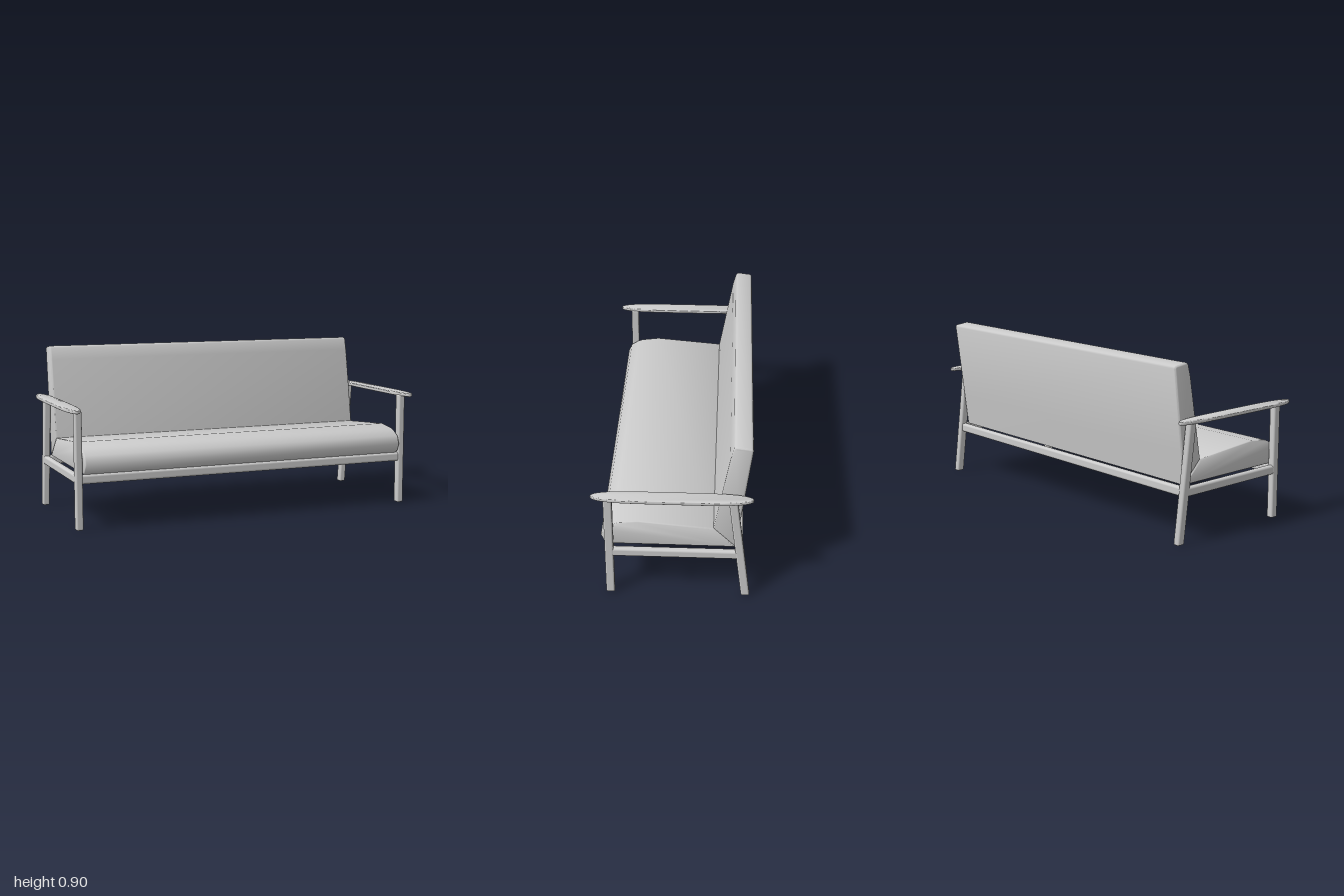
import * as THREE from 'three';
import { toCreasedNormals } from 'three/addons/utils/BufferGeometryUtils.js';
import { RoundedBoxGeometry } from 'three/addons/geometries/RoundedBoxGeometry.js';

const material = new THREE.MeshStandardMaterial({ color: 0xcccccc });

function part(name, geometry, parent) {
  const mesh = new THREE.Mesh(geometry, material);
  mesh.name = name;
  parent.add(mesh);
  return mesh;
}

function bevelled(points, depth, bevel) {
  const shape = new THREE.Shape(points.map(([u, v]) => new THREE.Vector2(u, v)));
  return new THREE.ExtrudeGeometry(shape, {
    depth: depth - 2 * bevel, bevelSize: bevel, bevelThickness: bevel,
    bevelOffset: -bevel, bevelSegments: 3,
  }).translate(0, 0, bevel - depth / 2);
}

// Cushion from a side profile of [z, y] points, spanning the width in x
function cushion(profile, width) {
  return toCreasedNormals(bevelled(profile, width, 0.01).rotateY(-Math.PI / 2), 0.9);
}

// Upright whose top is shifted in z while its foot stays flat
function leg(height, zFoot, zTop) {
  const g = new RoundedBoxGeometry(0.037, height, 0.044, 3, 0.009).translate(0, height / 2, 0);
  const p = g.attributes.position;
  for (let i = 0; i < p.count; i++) {
    p.setZ(i, p.getZ(i) + zFoot + (zTop - zFoot) * p.getY(i) / height);
  }
  g.computeBoundingSphere();
  return g;
}

// Long paddle with elliptical ends and a softly rounded rim
function armrest() {
  const outline = [];
  const n = 64;
  for (let i = 0; i < n; i++) {
    const a = (i / n) * Math.PI * 2;
    const c = Math.cos(a), s = Math.sin(a);
    outline.push([
      0.0425 * Math.sign(c) * Math.abs(c),
      0.4 * Math.sign(s) * Math.pow(Math.abs(s), 0.45),
    ]);
  }
  const g = bevelled(outline, 0.02, 0.008);
  return toCreasedNormals(g.rotateX(-Math.PI / 2), 0.9);
}

export function createModel() {
  const sofa = new THREE.Group();
  sofa.name = 'sofa';

  // Upholstery
  part('seatCushion', cushion([
    [-0.317, 0.287], [0.325, 0.287], [0.342, 0.297], [0.361, 0.34], [0.342, 0.385],
    [0.3, 0.411], [0.275, 0.42], [0.175, 0.433], [-0.205, 0.4],
  ], 1.83), sofa);
  part('backCushion', cushion([
    [-0.317, 0.287], [-0.205, 0.4], [-0.28, 0.825], [-0.296, 0.885], [-0.303, 0.894],
    [-0.313, 0.897], [-0.378, 0.889], [-0.387, 0.884], [-0.39, 0.874], [-0.338, 0.45],
  ], 1.83), sofa);

  // Long rails under the seat
  for (const [name, z] of [['frontRail', 0.318], ['rearRail', -0.338]]) {
    part(name, new RoundedBoxGeometry(1.86, 0.048, 0.036, 3, 0.012), sofa)
      .position.set(0, 0.262, z);
  }

  // Side frames, mirrored left and right
  for (const [label, side] of [['left', 1], ['right', -1]]) {
    const frame = new THREE.Group();
    frame.name = label + 'SideFrame';
    sofa.add(frame);

    part('frontLeg', leg(0.614, 0.318, 0.318), frame).position.x = side * 0.938;
    part('rearLeg', leg(0.614, -0.374, -0.298), frame).position.x = side * 0.938;
    part('sideRail', new RoundedBoxGeometry(0.034, 0.048, 0.65, 3, 0.012), frame)
      .position.set(side * 0.938, 0.262, -0.01);
    part('armrest', armrest(), frame).position.set(side * 0.9575, 0.617, 0);
  }
  return sofa;
}
